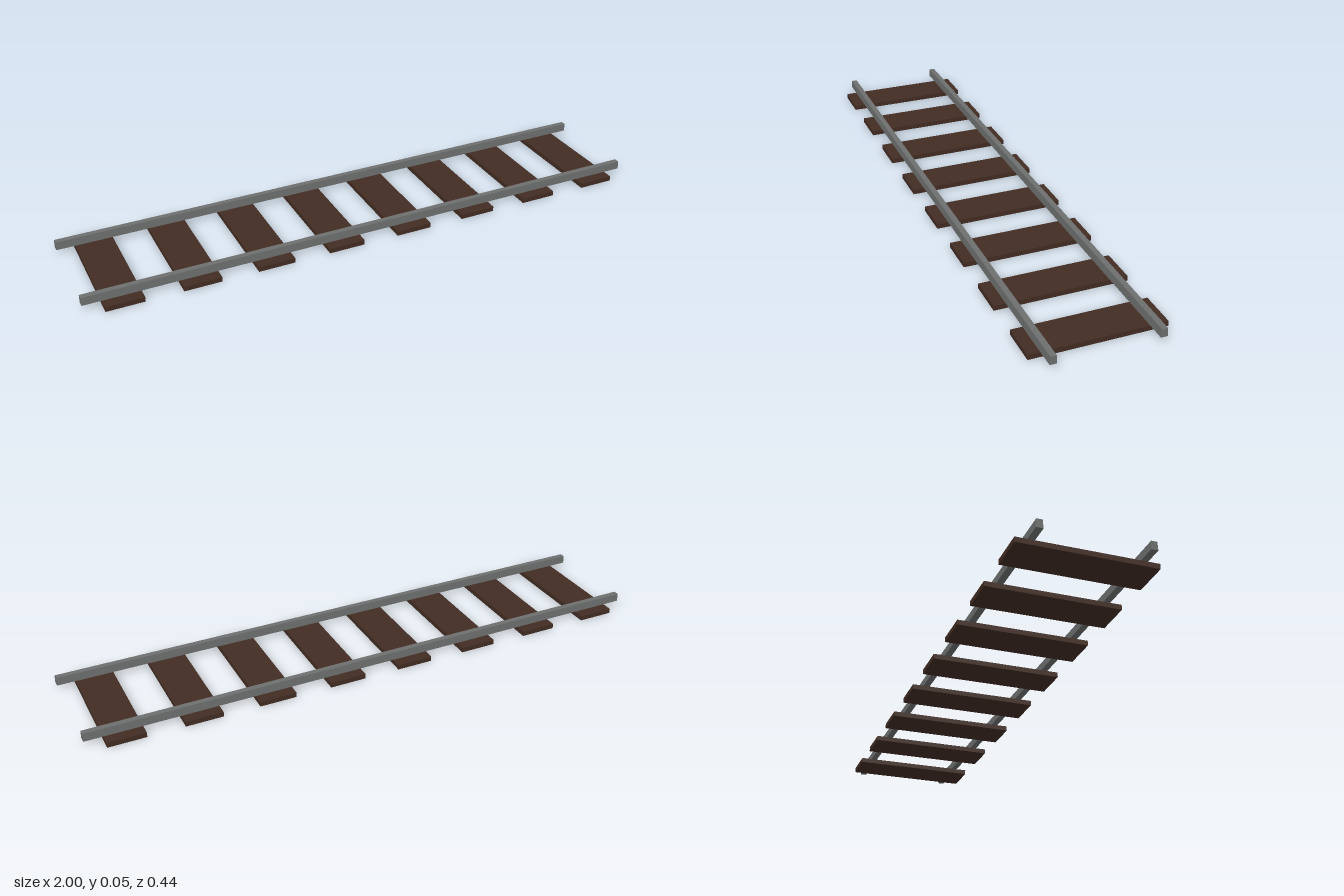
import * as THREE from 'three';

const wood = new THREE.MeshStandardMaterial({ color: 0x432d23 });
wood.name = 'dark wood';
const steel = new THREE.MeshStandardMaterial({ color: 0x6e7070 });
steel.name = 'grey steel';

export function createModel() {
  const track = new THREE.Group();
  track.name = 'railTrack';

  // Eight evenly spaced cross ties
  const count = 8, spacing = 0.25, tieHeight = 0.017;
  const tieGeometry = new THREE.BoxGeometry(0.126, tieHeight, 0.44);
  for (let i = 0; i < count; i++) {
    const tie = new THREE.Mesh(tieGeometry, wood);
    tie.name = `crossTie${i + 1}`;
    tie.position.set((i - (count - 1) / 2) * spacing, tieHeight / 2, 0);
    track.add(tie);
  }

  // Rail section, slightly narrower at the top, extruded along the track
  const base = 0.011, head = 0.0095, railHeight = 0.028;
  const section = new THREE.Shape([
    new THREE.Vector2(-base, 0),
    new THREE.Vector2(base, 0),
    new THREE.Vector2(head, railHeight),
    new THREE.Vector2(-head, railHeight),
  ]);
  const railGeometry = new THREE.ExtrudeGeometry(section, { depth: 2, bevelEnabled: false });
  railGeometry.translate(0, 0, -1).rotateY(Math.PI / 2);

  for (const side of [1, -1]) {
    const rail = new THREE.Mesh(railGeometry, steel);
    rail.name = side > 0 ? 'frontRail' : 'backRail';
    rail.position.set(0, tieHeight, side * 0.171);
    track.add(rail);
  }

  return track;
}
